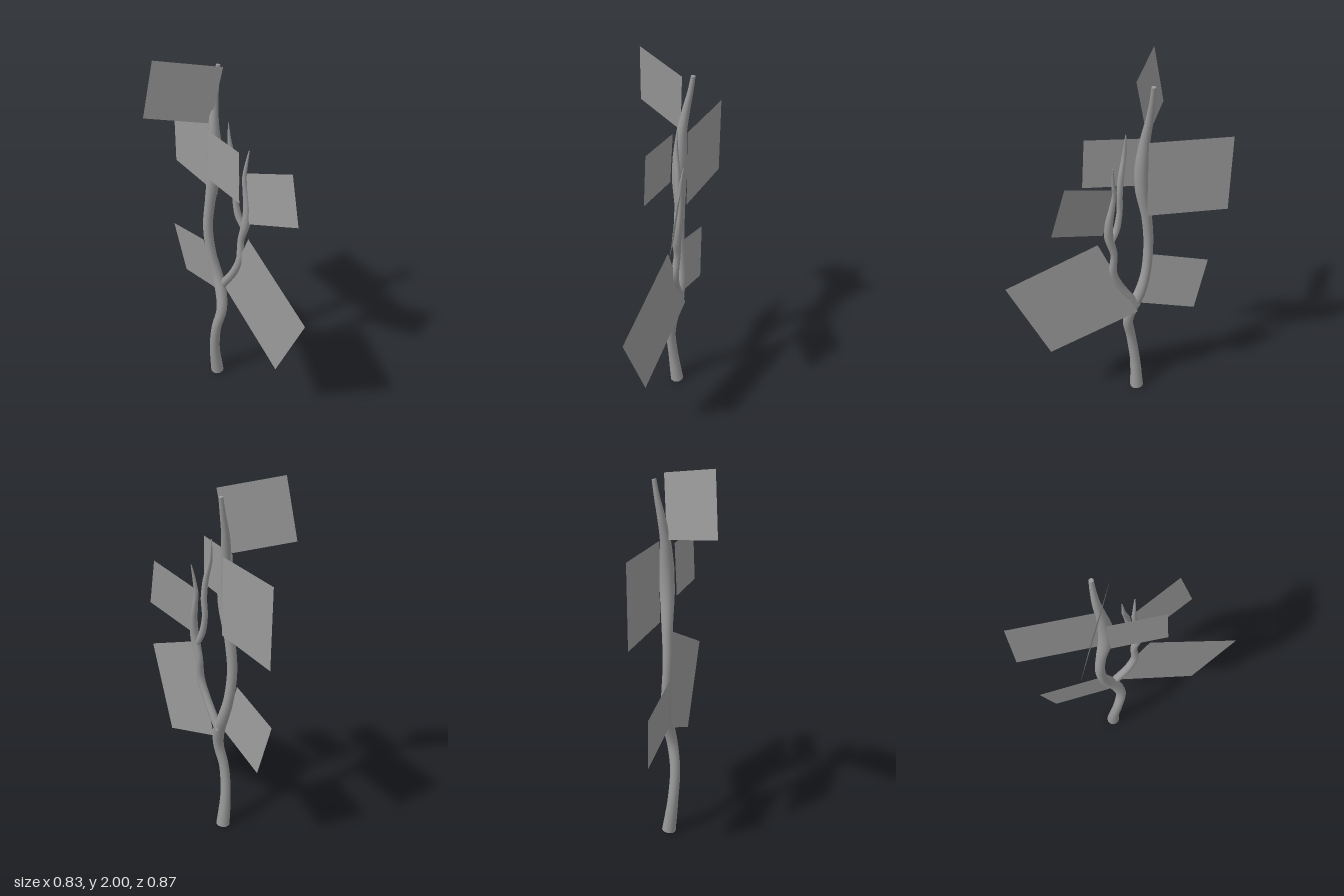
import * as THREE from 'three';

const wood = new THREE.MeshStandardMaterial({ color: 0x999999 });
const leaf = new THREE.MeshStandardMaterial({ color: 0x999999, side: THREE.DoubleSide });

// Tapered limb: each point is [x, y, z, radius]; both ends are capped
function limb(name, points, rings, sides) {
  const group = new THREE.Group();
  group.name = name;
  const curve = new THREE.CatmullRomCurve3(points.map(([x, y, z]) => new THREE.Vector3(x, y, z)));
  const geometry = new THREE.TubeGeometry(curve, rings, 1, sides, false);
  const position = geometry.attributes.position;
  const v = new THREE.Vector3();
  for (let i = 0; i <= rings; i++) {
    const t = curve.getUtoTmapping(i / rings) * (points.length - 1);
    const k = Math.min(Math.floor(t), points.length - 2);
    const radius = THREE.MathUtils.lerp(points[k][3], points[k + 1][3], t - k);
    const center = curve.getPointAt(i / rings);
    for (let j = 0; j <= sides; j++) {
      const n = i * (sides + 1) + j;
      v.fromBufferAttribute(position, n).sub(center).multiplyScalar(radius).add(center);
      position.setXYZ(n, v.x, v.y, v.z);
    }
  }
  const bark = new THREE.Mesh(geometry, wood);
  bark.name = name + 'Bark';
  group.add(bark);
  for (const [u, p, sign] of [[0, points[0], -1], [1, points[points.length - 1], 1]]) {
    const cap = new THREE.Mesh(new THREE.CircleGeometry(p[3], sides), wood);
    cap.name = name + (u ? 'TipCap' : 'BaseCap');
    cap.position.set(p[0], p[1], p[2]);
    cap.quaternion.setFromUnitVectors(new THREE.Vector3(0, 0, 1), curve.getTangentAt(u).multiplyScalar(sign));
    group.add(cap);
  }
  return group;
}

// Flat leaf card: a parallelogram from three consecutive corners
function leafCard(name, a, b, c) {
  const d = a.map((value, i) => value + c[i] - b[i]);
  const geometry = new THREE.BufferGeometry();
  geometry.setAttribute('position', new THREE.Float32BufferAttribute([...a, ...b, ...c, ...d], 3));
  geometry.setAttribute('uv', new THREE.Float32BufferAttribute([0, 0, 1, 0, 1, 1, 0, 1], 2));
  geometry.setIndex([0, 1, 2, 0, 2, 3]);
  geometry.computeVertexNormals();
  const mesh = new THREE.Mesh(geometry, leaf);
  mesh.name = name;
  return mesh;
}

export function createModel() {
  const model = new THREE.Group();
  model.name = 'sapling';

  // Winding main stem
  model.add(limb('trunk', [
    [-0.086, 0.008, -0.071, 0.038], [-0.096, 0.2, -0.051, 0.029], [-0.083, 0.38, -0.03, 0.027],
    [-0.051, 0.52, -0.028, 0.029], [-0.057, 0.63, -0.055, 0.032], [-0.083, 0.73, -0.085, 0.031],
    [-0.113, 0.85, -0.1, 0.027], [-0.13, 1.03, -0.101, 0.026], [-0.115, 1.2, -0.095, 0.027],
    [-0.09, 1.37, -0.08, 0.037], [-0.084, 1.5, -0.079, 0.037], [-0.09, 1.64, -0.09, 0.026],
    [-0.09, 1.75, -0.111, 0.02], [-0.08, 1.85, -0.129, 0.014], [-0.072, 1.93, -0.139, 0.011],
  ], 64, 12));

  // Side branch rising from the lower trunk
  model.add(limb('sideBranch', [
    [-0.06, 0.65, -0.08, 0.022], [-0.03, 0.71, -0.055, 0.022], [0.014, 0.8, -0.018, 0.021],
    [0.051, 0.91, 0.005, 0.021], [0.056, 1.03, -0.004, 0.018], [0.08, 1.14, 0.01, 0.024],
    [0.086, 1.23, 0.006, 0.021], [0.076, 1.33, -0.007, 0.015], [0.069, 1.4, -0.012, 0.012],
    [0.078, 1.48, -0.015, 0.008], [0.09, 1.55, -0.02, 0.003],
  ], 48, 10));

  // Thin fork off the side branch
  model.add(limb('forkTwig', [
    [0.07, 1.11, 0.003, 0.015], [0.04, 1.18, -0.01, 0.018], [0.024, 1.28, -0.018, 0.015],
    [0.028, 1.38, -0.02, 0.016], [0.018, 1.48, -0.022, 0.015], [-0.004, 1.58, -0.025, 0.011],
    [-0.012, 1.69, -0.03, 0.002],
  ], 36, 10));

  // Leaf cards
  model.add(
    leafCard('topLeaf', [-0.35, 2, 0.015], [-0.04, 1.95, -0.067], [-0.106, 1.647, -0.092]),
    leafCard('backLeaf', [-0.35, 1.64, -0.436], [-0.35, 1.23, -0.436], [-0.08, 1.23, -0.117]),
    leafCard('frontLeaf', [0.06, 1.64, 0.16], [0.064, 1.375, 0.175], [-0.113, 1.365, -0.04]),
    leafCard('upperLeftLeaf', [0.307, 1.51, 0.108], [0.35, 1.25, 0.168], [0.1, 1.16, 0.035]),
    leafCard('lowerLeftLeaf', [0.1, 1.09, 0.066], [0.414, 0.862, 0.4365], [0.276, 0.394, 0.2737]),
    leafCard('lowerRightLeaf', [-0.157, 0.94, -0.108], [-0.361, 0.866, -0.346], [-0.295, 0.565, -0.312]),
  );
  return model;
}
